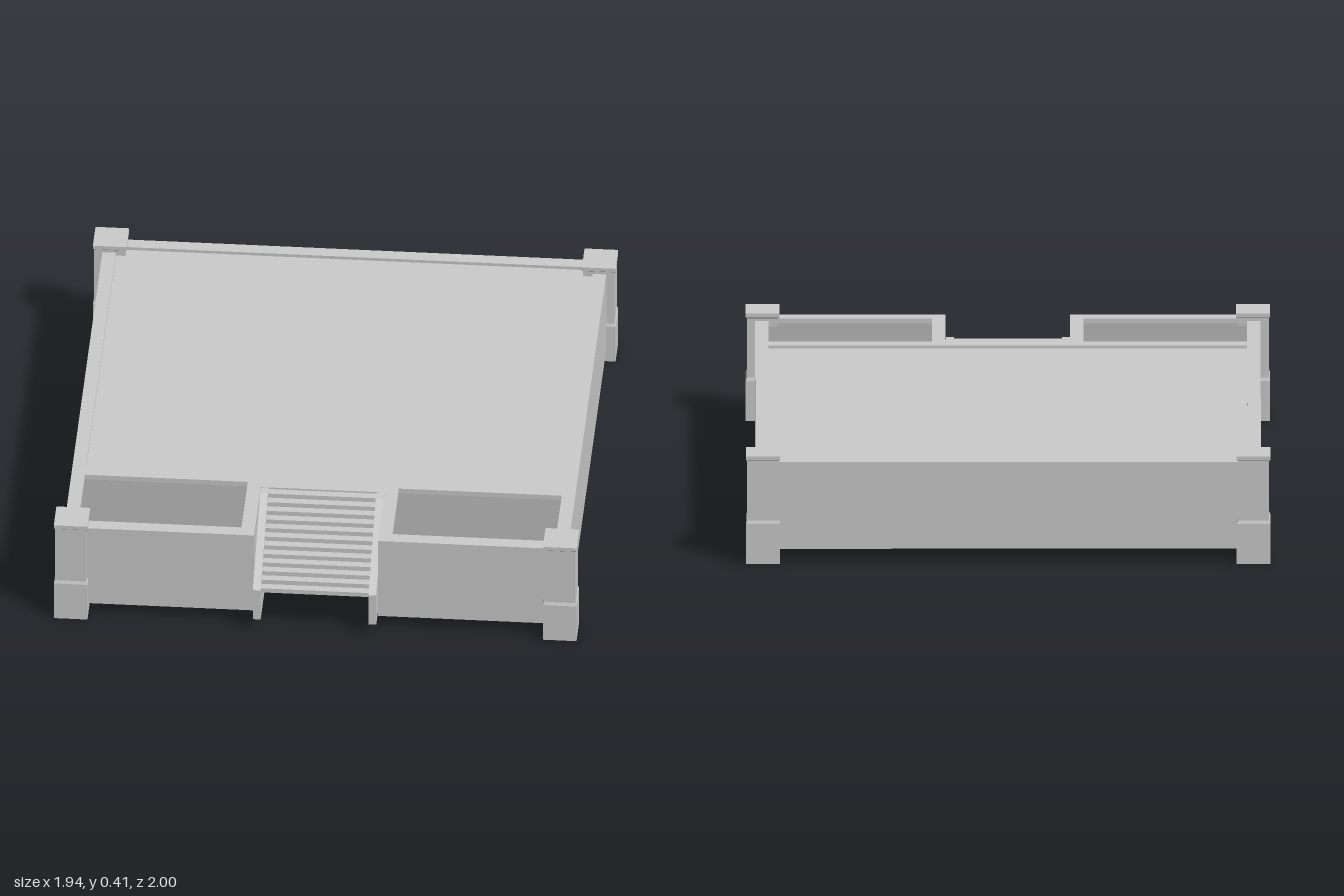
import * as THREE from 'three';

const stone = new THREE.MeshStandardMaterial({ color: 0xcccccc, flatShading: true, side: THREE.DoubleSide });
const soil = new THREE.MeshStandardMaterial({ color: 0x979797, flatShading: true, side: THREE.DoubleSide });

const BASE = 0.05, RIM = 0.385, FLOOR = 0.373, BED = 0.365;
const NOTCH_X = 0.23, NOTCH_Z = 0.615, FRONT = 0.935, BACK = -0.97, SIDE = 0.935;

const mesh = (name, geometry, material = stone) => {
  const m = new THREE.Mesh(geometry, material);
  m.name = name;
  return m;
};

// Sheet of quads between two matching rows of [x, y, z] points
function ribbon(a, b) {
  const pos = [];
  for (let i = 0; i + 1 < a.length; i++) {
    pos.push(...a[i], ...a[i + 1], ...b[i + 1], ...a[i], ...b[i + 1], ...b[i]);
  }
  const g = new THREE.BufferGeometry();
  g.setAttribute('position', new THREE.Float32BufferAttribute(pos, 3));
  g.computeVertexNormals();
  return g;
}

// Vertical wall following a closed [x, z] outline
function wall(outline, y0, y1) {
  const loop = [...outline, outline[0]];
  return ribbon(loop.map(([x, z]) => [x, y0, z]), loop.map(([x, z]) => [x, y1, z]));
}

// Horizontal sheet facing up, with optional holes
function plate(outline, y, holes = []) {
  const flat = (pts) => pts.map(([x, z]) => new THREE.Vector2(x, -z));
  const shape = new THREE.Shape(flat(outline));
  holes.forEach((h) => shape.holes.push(new THREE.Path(flat(h))));
  return new THREE.ShapeGeometry(shape).rotateX(-Math.PI / 2).translate(0, y, 0);
}

const rect = (x0, x1, z0, z1) => [[x0, z1], [x1, z1], [x1, z0], [x0, z0]];

export function createModel() {
  const model = new THREE.Group();
  model.name = 'raisedTerrace';

  // Hollow platform with a stair notch in the front
  const outline = [
    [-SIDE, FRONT], [-NOTCH_X, FRONT], [-NOTCH_X, NOTCH_Z], [NOTCH_X, NOTCH_Z],
    [NOTCH_X, FRONT], [SIDE, FRONT], [SIDE, BACK], [-SIDE, BACK],
  ];
  const floorArea = rect(-0.885, 0.885, -0.92, 0.535);
  const beds = [rect(-0.885, -0.28, 0.585, 0.885), rect(0.28, 0.885, 0.585, 0.885)];
  model.add(mesh('outerWalls', wall(outline, BASE, RIM)));
  model.add(mesh('rim', plate(outline, RIM, [floorArea, ...beds])));

  // Sunken floor and planting beds
  model.add(mesh('floor', plate(floorArea, FLOOR)));
  model.add(mesh('floorEdge', wall(floorArea, FLOOR, RIM)));
  for (const bed of beds) {
    model.add(mesh('plantingBed', plate(bed, BED), soil));
    model.add(mesh('plantingBedEdge', wall(bed, BED, RIM)));
  }

  // Corner posts, open at the bottom, wider at the foot and the cap
  const profile = [
    [0.0625, 0], [0.0625, 0.155], [0.058, 0.167], [0.058, 0.396],
    [0.0625, 0.4], [0.0625, 0.415], [0, 0.415],
  ].map(([r, y]) => new THREE.Vector2(r * Math.SQRT2, y));
  const postGeometry = new THREE.LatheGeometry(profile, 4, Math.PI / 4);
  for (const x of [-0.9075, 0.9075]) {
    for (const z of [0.9075, -0.9375]) {
      const post = mesh('cornerPost', postGeometry);
      post.position.set(x, 0, z);
      model.add(post);
    }
  }

  // Stair flight as one folded sheet
  const steps = 12, run = 0.365 / steps, rise = 0.215 / steps;
  const fold = [[0.378, NOTCH_Z]];
  for (let i = 0; i < steps; i++) {
    const y = 0.378 - i * rise, z = NOTCH_Z + (i + 1) * run;
    fold.push([y, z], [y - rise, z]);
  }
  model.add(mesh('stairs', ribbon(
    fold.map(([y, z]) => [-0.2, y, z]),
    fold.map(([y, z]) => [0.2, y, z]),
  )));

  // Sloping side walls of the stairs
  const side = new THREE.Shape([
    [NOTCH_Z, 0.055], [1, 0.055], [1, 0.185], [0.65, 0.384], [NOTCH_Z, 0.384],
  ].map(([z, y]) => new THREE.Vector2(-z, y)));
  const sideGeometry = new THREE.ExtrudeGeometry(side, { depth: 0.029, bevelEnabled: false })
    .rotateY(Math.PI / 2);
  for (const x of [-0.229, 0.2]) {
    const stringer = mesh('stairSideWall', sideGeometry);
    stringer.position.x = x;
    model.add(stringer);
  }
  return model;
}
